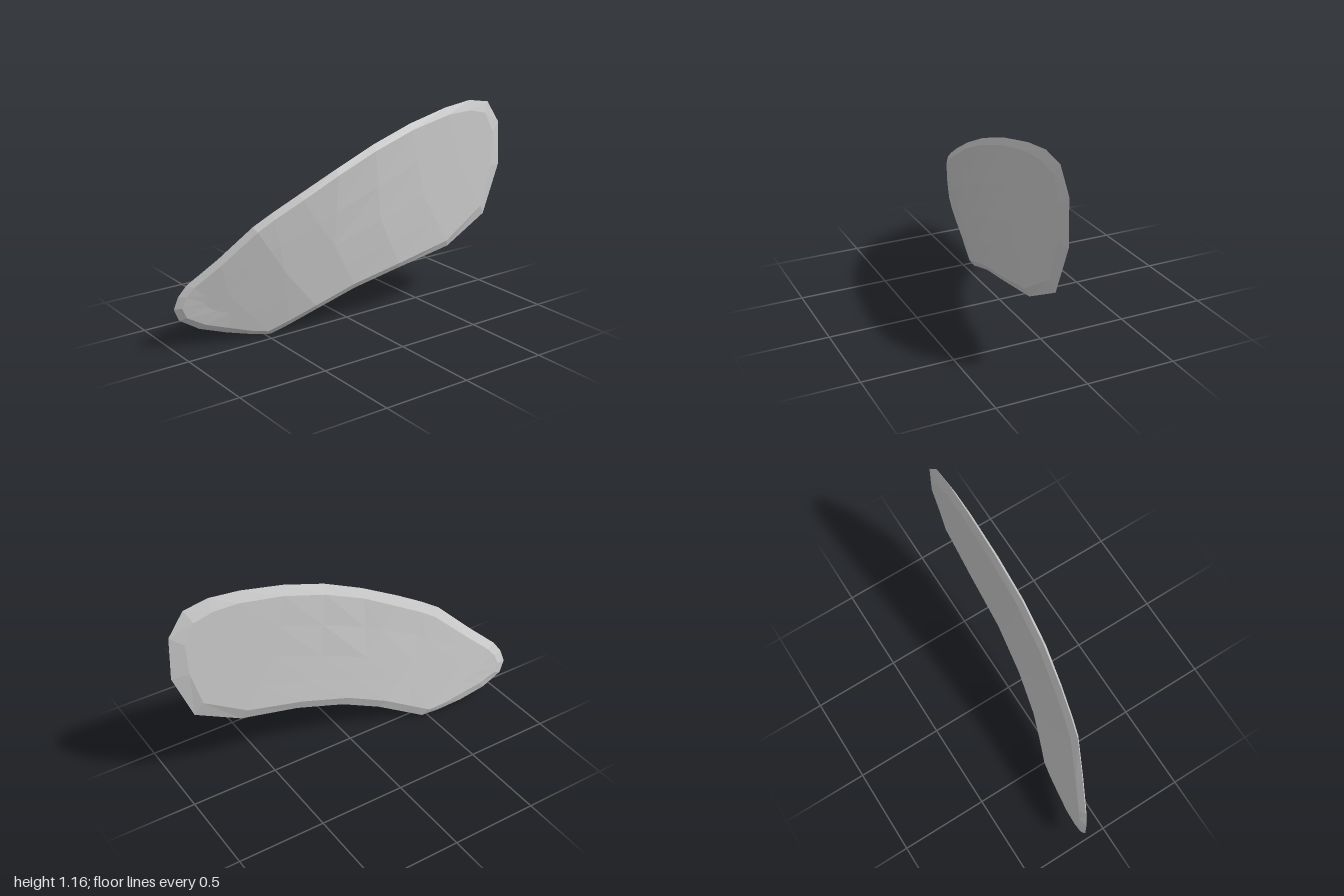
import * as THREE from 'three';

// Outline, counter-clockwise seen from the front
const OUTLINE = [
  [-1, 0.24], [-0.97, 0.17], [-0.86, 0.1], [-0.71, 0.05], [-0.57, 0.015], [-0.47, 0],
  [-0.38, 0.04], [-0.22, 0.115], [0, 0.2], [0.28, 0.27], [0.62, 0.335], [0.89, 0.48],
  [1, 0.76], [0.99, 1.01], [0.9, 1.14], [0.76, 1.165], [0.58, 1.145], [0.33, 1.09],
  [0.08, 1.01], [-0.15, 0.91], [-0.37, 0.8], [-0.52, 0.72], [-0.62, 0.66],
  [-0.79, 0.5], [-0.94, 0.37], [-0.98, 0.31],
].map(([x, y]) => new THREE.Vector2(x, y));

// Depth of the bent plate along its diagonal bend direction
const BEND = [[-0.85, -0.148], [-0.67, -0.11], [-0.47, -0.055], [-0.35, -0.022], [-0.1, 0.037],
  [0.16, 0.075], [0.49, 0.113], [0.88, 0.131], [1.25, 0.13], [1.7, 0.124]];

function bendDepth(p) {
  const t = p.x + 0.78 * p.y;
  if (t <= BEND[0][0]) return BEND[0][1];
  for (let i = 1; i < BEND.length; i++) {
    const [t0, z0] = BEND[i - 1], [t1, z1] = BEND[i];
    if (t <= t1) return z0 + (z1 - z0) * (t - t0) / (t1 - t0);
  }
  return BEND[BEND.length - 1][1];
}

// Middle line of the plate, snapped to six points so both halves meet
const SPINE_A = new THREE.Vector2(-0.72, 0.28);
const SPINE_B = new THREE.Vector2(0.7, 0.78);
function spinePoint(p) {
  const d = SPINE_B.clone().sub(SPINE_A);
  const u = THREE.MathUtils.clamp(p.clone().sub(SPINE_A).dot(d) / d.lengthSq(), 0, 1);
  return SPINE_A.clone().addScaledVector(d, Math.round(u * 5) / 5);
}

// One face: sharp rim, bevel, then rings running in to the middle line
function faceGeometry(side) {
  const half = side > 0 ? 0.018 : 0.022;
  const ring = (level) => OUTLINE.map((o) => {
    const s = spinePoint(o);
    const inset = (side > 0 ? 0.035 : 0.055) + 0.08 * Math.max(0, o.x - 0.5);
    const rim = inset / o.distanceTo(s);
    const f = [0, rim, 0.55, 1][level];
    const p = o.clone().lerp(s, f);
    return new THREE.Vector3(p.x, p.y, bendDepth(p) + (level ? side * half : 0));
  });
  const rings = [0, 1, 2, 3].map(ring);
  const positions = [];
  const tri = (a, b, c) => {
    if (a.distanceTo(b) < 1e-5 || b.distanceTo(c) < 1e-5 || c.distanceTo(a) < 1e-5) return;
    for (const v of side > 0 ? [a, b, c] : [a, c, b]) positions.push(v.x, v.y, v.z);
  };
  for (let r = 0; r < 3; r++) {
    for (let i = 0; i < OUTLINE.length; i++) {
      const j = (i + 1) % OUTLINE.length;
      tri(rings[r][i], rings[r][j], rings[r + 1][j]);
      tri(rings[r][i], rings[r + 1][j], rings[r + 1][i]);
    }
  }
  const geometry = new THREE.BufferGeometry();
  geometry.setAttribute('position', new THREE.Float32BufferAttribute(positions, 3));
  geometry.computeVertexNormals();
  return geometry;
}

export function createModel() {
  const model = new THREE.Group();
  model.name = 'bentPlate';
  const grey = new THREE.MeshStandardMaterial({ color: 0xcccccc, flatShading: true });
  grey.name = 'light grey';
  for (const [name, side] of [['frontFace', 1], ['backFace', -1]]) {
    const mesh = new THREE.Mesh(faceGeometry(side), grey);
    mesh.name = name;
    model.add(mesh);
  }
  return model;
}
